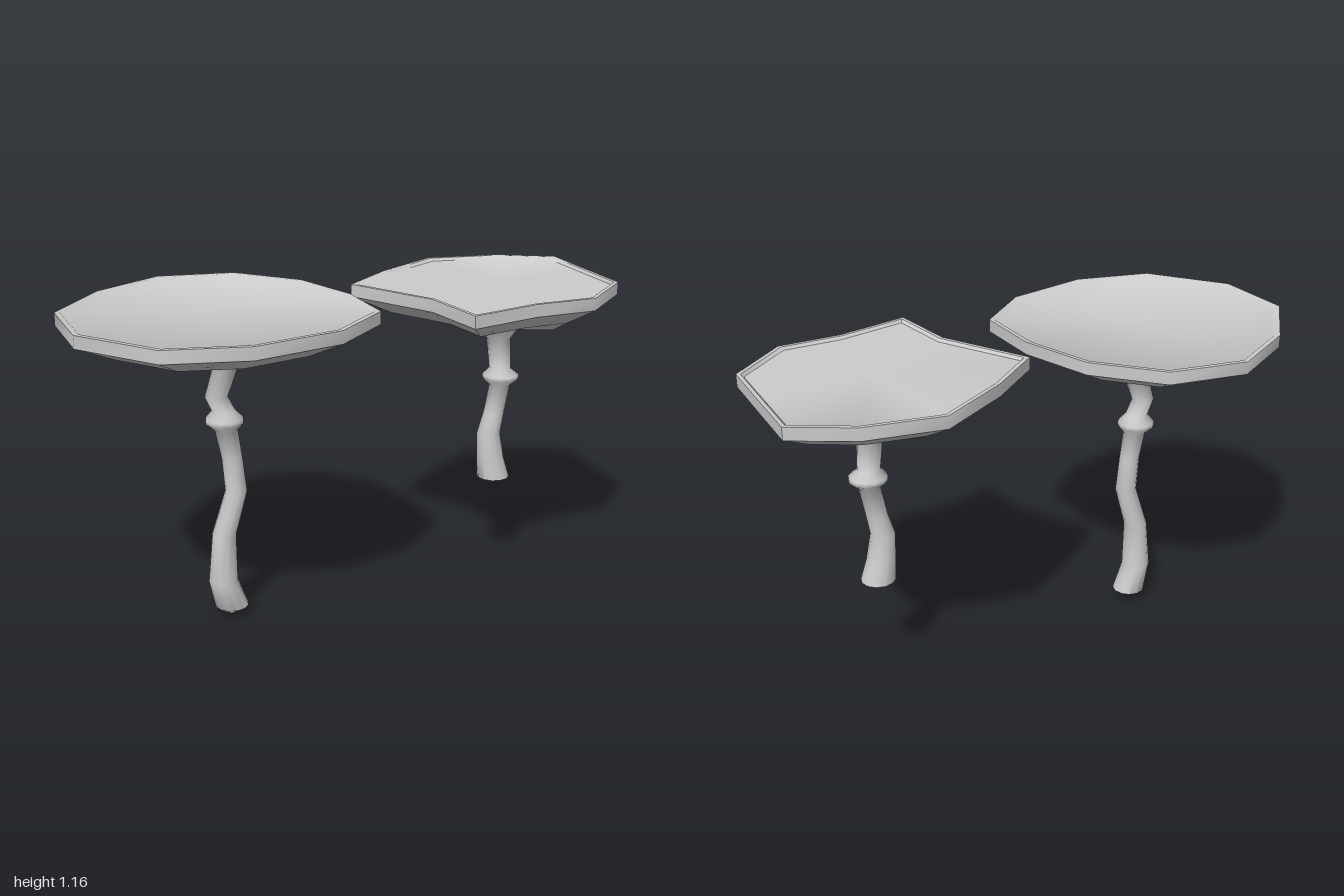
import * as THREE from 'three';
import { toCreasedNormals } from 'three/addons/utils/BufferGeometryUtils.js';

const material = new THREE.MeshStandardMaterial({ color: 0xcccccc });

// Skin a stack of equally sized rings, listed from bottom to top
function loft(rings, crease) {
  const n = rings[0].length, index = [];
  for (let r = 0; r < rings.length - 1; r++) {
    for (let i = 0; i < n; i++) {
      const j = (i + 1) % n;
      const a = r * n + i, b = r * n + j, c = a + n, d = b + n;
      index.push(a, c, b, b, c, d);
    }
  }
  const geometry = new THREE.BufferGeometry();
  geometry.setAttribute('position', new THREE.Float32BufferAttribute(rings.flat(2), 3));
  geometry.setIndex(index);
  return toCreasedNormals(geometry, crease);
}

// Crooked stalk from [centre x, y, radius] stations
function makeStem(stations, sides = 12) {
  const rings = stations.map(([x, y, r]) => Array.from({ length: sides }, (_, i) => {
    const t = (i / sides) * Math.PI * 2;
    return [x + r * Math.cos(t), y, r * Math.sin(t)];
  }));
  return loft(rings, 1.2);
}

// Shallow cap: [scale of outline, y] from the stalk out to the rim, then the sunken top
const capProfile = [
  [0, 1.0], [0.17, 1.0], [0.45, 1.02], [0.73, 1.055], [1, 1.12],
  [1, 1.165], [0.965, 1.165], [0.94, 1.155], [0, 1.155],
];

function makeCap(cx, outline, bulge = {}) {
  const rings = capProfile.map(([s, y], level) => outline.map(([x, z], i) => {
    // a bulge keeps the low underside wide below a broken rim
    const k = level === 2 && bulge[i] ? bulge[i] : s;
    return [cx + (x - cx) * k, y, z * k];
  }));
  return loft(rings, 0.75);
}

function makeMushroom(name, stem, cap) {
  const group = new THREE.Group();
  group.name = name;
  for (const [part, geometry] of [['stem', stem], ['cap', cap]]) {
    const mesh = new THREE.Mesh(geometry, material);
    mesh.name = part;
    group.add(mesh);
  }
  return group;
}

export function createModel() {
  const model = new THREE.Group();
  model.name = 'mushroomPlatforms';

  // Tall mushroom with a full round cap
  model.add(makeMushroom('tallMushroom',
    makeStem([
      [-0.46, 0.005, 0], [-0.457, 0.045, 0.062], [-0.487, 0.15, 0.054],
      [-0.478, 0.33, 0.044], [-0.428, 0.49, 0.04], [-0.44, 0.62, 0.038],
      [-0.458, 0.725, 0.042], [-0.463, 0.75, 0.068], [-0.463, 0.765, 0.068],
      [-0.465, 0.795, 0.042], [-0.49, 0.85, 0.041], [-0.457, 0.945, 0.045],
      [-0.455, 1.005, 0.095],
    ]),
    makeCap(-0.47, [
      [-0.54, -0.53], [-0.26, -0.48], [-0.07, -0.27], [0.01, 0], [0.01, 0.27], [-0.2, 0.45],
      [-0.52, 0.52], [-0.8, 0.45], [-1, 0.18], [-1, -0.13], [-0.8, -0.38],
    ])));

  // Short mushroom with a broken cap
  model.add(makeMushroom('shortMushroom',
    makeStem([
      [0.61, 0.37, 0], [0.61, 0.392, 0.062], [0.595, 0.47, 0.052],
      [0.584, 0.57, 0.044], [0.603, 0.65, 0.039], [0.624, 0.76, 0.039],
      [0.626, 0.785, 0.068], [0.626, 0.8, 0.068], [0.622, 0.825, 0.04],
      [0.612, 0.94, 0.045], [0.61, 1.012, 0.095],
    ]),
    makeCap(0.6, [
      [0.53, -0.44], [0.8, -0.39], [1, -0.27], [0.99, -0.02], [0.98, 0.21], [0.77, 0.39],
      [0.54, 0.39], [0.27, 0.45], [0.24, 0.19], [0.07, -0.13], [0.27, -0.29],
    ], { 4: 0.6, 5: 0.6 })));

  return model;
}
